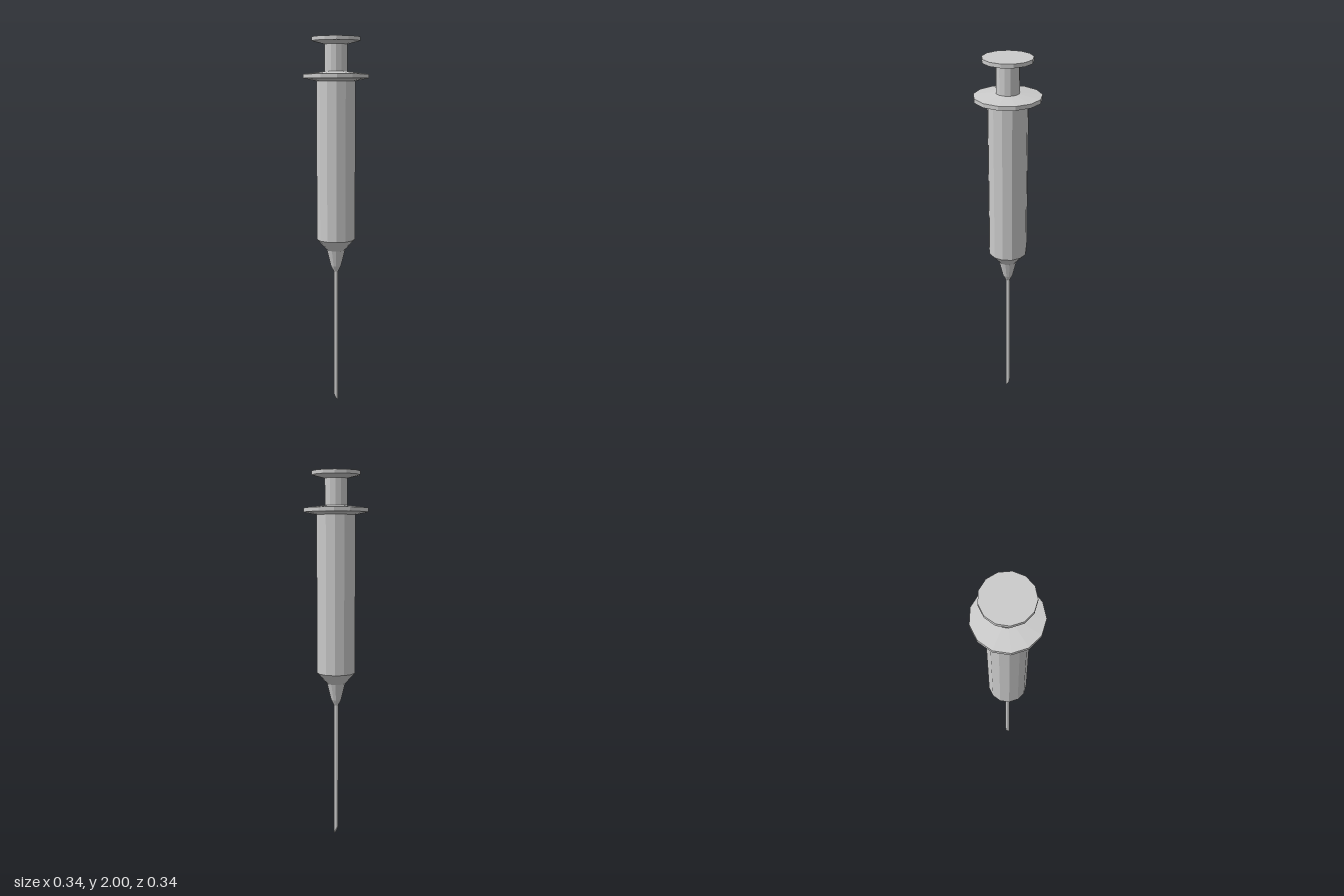
import * as THREE from 'three';

const SIDES = 13;
const CENTRE_Z = 0.0025; // an odd-sided ring is slightly off centre in depth

export function createModel() {
  const group = new THREE.Group();
  const material = new THREE.MeshStandardMaterial({ color: 0xcccccc, flatShading: true });

  // Turned part from a [radius, height] profile running bottom to top
  function turned(name, profile) {
    const points = profile.map(([r, y]) => new THREE.Vector2(r, y));
    const geometry = new THREE.LatheGeometry(points, SIDES, Math.PI);
    const mesh = new THREE.Mesh(geometry, material);
    mesh.name = name;
    mesh.position.z = CENTRE_Z;
    group.add(mesh);
    return mesh;
  }

  // Needle, its end cut on a slant with the point towards +x
  const needleRadius = 0.012;
  const bevel = 0.045;
  const needle = turned('needle', [[0, 0], [needleRadius, 0], [needleRadius, 0.746]]);
  const pos = needle.geometry.attributes.position;
  for (let i = 0; i < pos.count; i++) {
    if (pos.getY(i) < 0.01) {
      pos.setY(i, Math.max(0, bevel * (1 - pos.getX(i) / needleRadius) / 2));
    }
  }
  needle.geometry.computeVertexNormals();

  // Tapered hub that holds the needle
  turned('needleHub', [[needleRadius, 0.746], [0.028, 0.778], [0.05, 0.868]]);

  // Barrel with its shoulder
  turned('barrel', [[0.05, 0.868], [0.104, 0.928], [0.104, 1.775]]);

  // Finger flange, thinner towards the rim
  turned('fingerFlange', [[0.104, 1.775], [0.1735, 1.789], [0.1735, 1.81], [0.06, 1.824]]);

  // Plunger rod and thumb rest
  turned('plungerRod', [[0.06, 1.824], [0.06, 1.963]]);
  turned('thumbRest', [[0.06, 1.963], [0.1285, 1.98], [0.1285, 2], [0, 2]]);

  return group;
}
